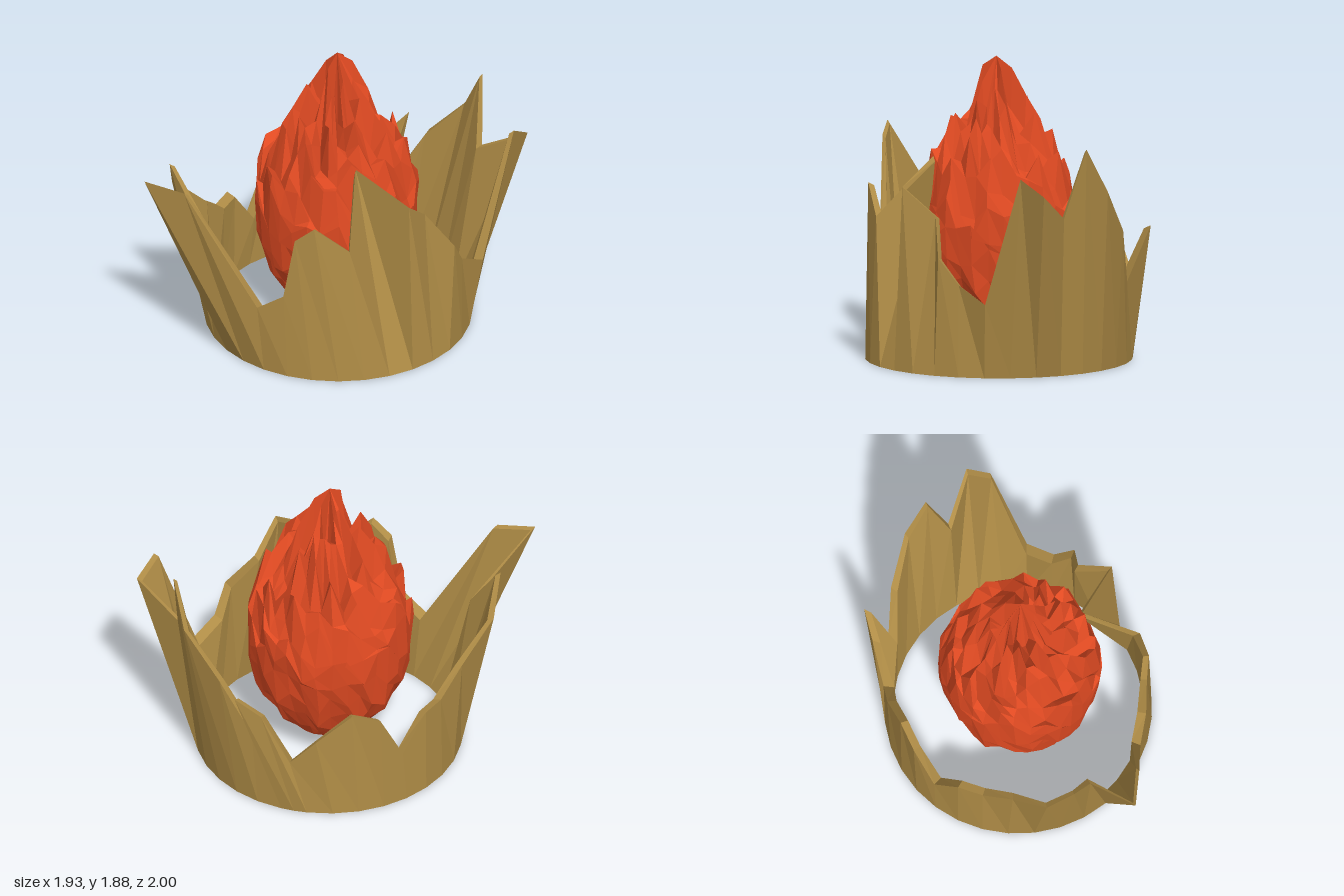
import * as THREE from 'three';

// Small seeded random generator
function seeded(seed) {
  let s = seed;
  return () => {
    s = (s * 16807) % 2147483647;
    return s / 2147483647;
  };
}

const CX = -0.045; // shared axis of shell and core
const STEP = Math.PI / 16;

// Torn upper rim: [step around the base, x, y, z]
const RIM = [
  [-3, -0.925, 1.3, 0.995], [-2, -0.68, 1.245, 0.95], [-1, -0.24, 0.455, 0.835],
  [0, -0.07, 0.57, 0.825], [1, 0, 0.98, 0.81], [2, 0.12, 1.08, 0.79],
  [3, 0.31, 0.9, 0.68], [4, 0.21, 1.28, 0.34], [5, 0.6, 1.14, 0.42],
  [6, 0.615, 0.97, 0.2], [7, 0.785, 0.74, 0.13], [8, 0.78, 0.575, 0],
  [9, 0.84, 0.47, -0.19], [10, 0.94, 1.28, -0.45], [11, 0.965, 1.18, -0.61],
  [12, 0.65, 1, -0.64], [13, 0.6, 1.43, -0.77], [14, 0.465, 1.15, -0.865],
  [15, 0.2, 0.87, -0.88], [16, -0.01, 0.52, -0.84], [17, 0.015, 0.88, -1],
  [17.5, -0.12, 0.74, -0.91], [18, -0.26, 0.37, -0.8], [19, -0.41, 0.54, -0.735],
  [20, -0.59, 0.73, -0.6], [21, -0.72, 0.67, -0.48], [22, -0.79, 0.35, -0.33],
  [23, -0.85, 0.58, -0.16], [24, -0.86, 0.58, 0], [25, -0.89, 0.73, 0.2],
  [26, -0.97, 0.97, 0.44], [27, -0.92, 1.2, 0.6], [28, -0.72, 0.9, 0.65],
];

// Closed wall: outer base, outer rim, inner rim, inner base; thinner towards the tips
function shellGeometry() {
  const positions = [];
  const index = [];
  for (const [k, x, y, z] of RIM) {
    const sx = Math.sin(k * STEP), cz = Math.cos(k * STEP);
    const dx = x - CX, len = Math.hypot(dx, z);
    const shrink = 1 - (0.08 - 0.04 * y) / len;
    positions.push(
      CX + 0.825 * sx, 0, 0.825 * cz,
      x, y, z,
      CX + dx * shrink, y - 0.02, z * shrink,
      CX + 0.77 * sx, 0, 0.77 * cz,
    );
  }
  for (let i = 0; i < RIM.length; i++) {
    const a = i * 4, b = ((i + 1) % RIM.length) * 4;
    for (let j = 0; j < 4; j++) {
      const n = (j + 1) % 4;
      // inner and outer walls fold along matching diagonals
      if (j === 2) index.push(a + j, b + j, b + n, a + j, b + n, a + n);
      else index.push(a + j, b + j, a + n, b + j, b + n, a + n);
    }
  }
  const g = new THREE.BufferGeometry();
  g.setAttribute('position', new THREE.Float32BufferAttribute(positions, 3));
  g.setIndex(index);
  return g;
}

// Faceted ball whose upper vertices are pulled up into ragged spikes
function coreGeometry() {
  const COLS = 32, ROWS = 16, R = 0.5, CENTRE_Y = 0.56;
  const g = new THREE.SphereGeometry(R, COLS, ROWS);
  const p = g.attributes.position;
  const random = seeded(4711);
  const jitter = Array.from({ length: (ROWS + 1) * COLS },
    () => [random() - 0.5, random(), random() - 0.5]);
  for (let i = 0; i < p.count; i++) {
    const row = Math.floor(i / (COLS + 1));
    const col = (i % (COLS + 1)) % COLS;
    const pole = row === 0 || row === ROWS;
    const c = Math.cos((row / ROWS) * Math.PI);
    const pull = c > 0 ? 0.38 + 0.2 * c + 0.24 * c ** 12 : 0.38 * (1 + c);
    const [jx, jy, jz] = jitter[row * COLS + col];
    const spread = pole ? 0 : 0.03 * Math.sqrt(1 - c * c);
    const lift = pole ? 1 : 0.35 + 0.65 * jy;
    p.setXYZ(i,
      p.getX(i) + jx * spread,
      p.getY(i) + CENTRE_Y + pull * lift,
      p.getZ(i) + jz * spread);
  }
  g.computeVertexNormals();
  return g;
}

export function createModel() {
  const gold = new THREE.MeshStandardMaterial({ color: 0xaf8c46, flatShading: true, side: THREE.DoubleSide });
  gold.name = 'dull gold';
  const red = new THREE.MeshStandardMaterial({ color: 0xe04a22, flatShading: true, side: THREE.DoubleSide });
  red.name = 'ember red';

  const group = new THREE.Group();
  group.name = 'spikyCoreInBrokenShell';

  const shell = new THREE.Mesh(shellGeometry(), gold);
  shell.name = 'brokenShell';

  const core = new THREE.Mesh(coreGeometry(), red);
  core.name = 'spikyCore';
  core.position.set(CX, 0, 0.015);

  group.add(shell, core);
  return group;
}
